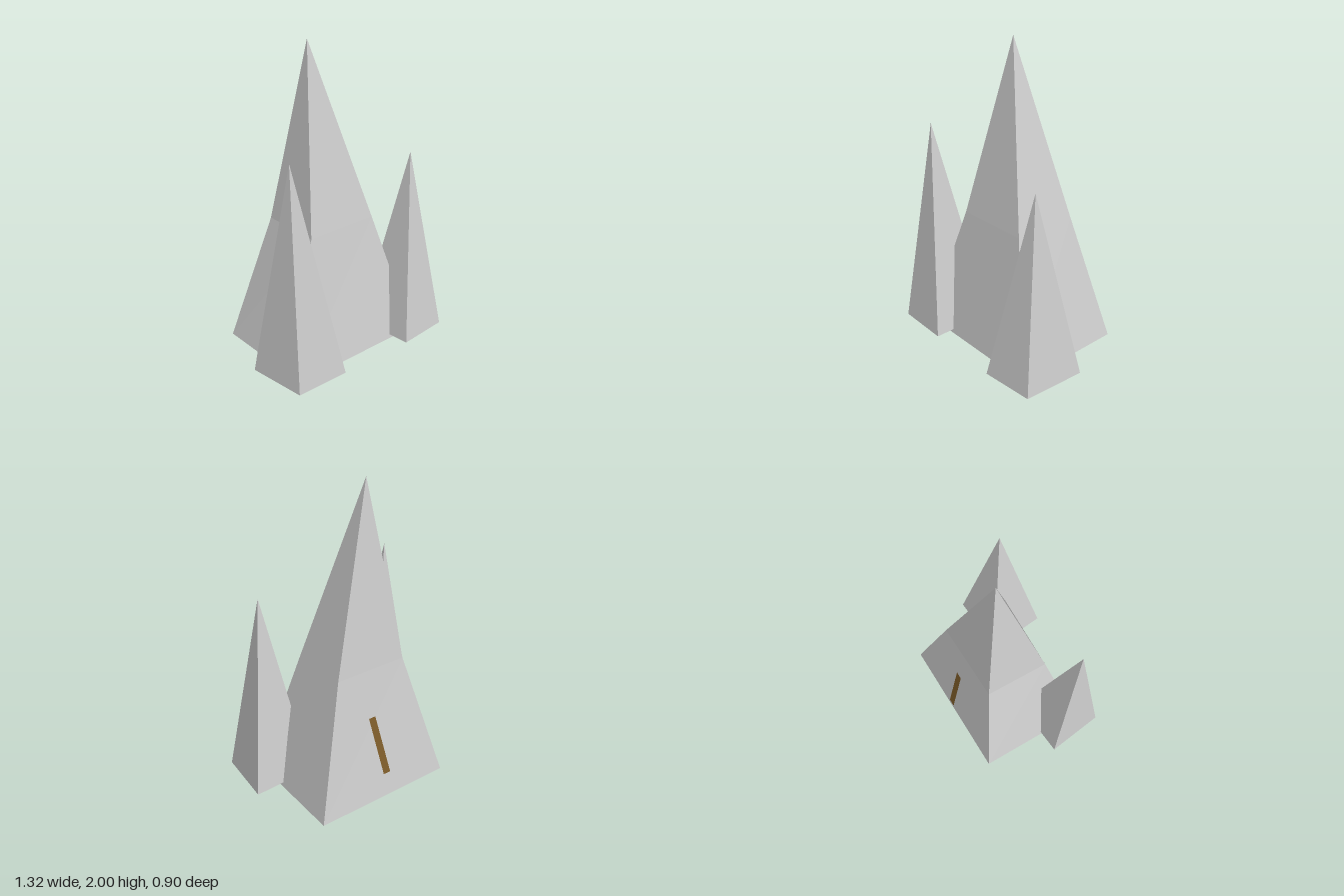
import * as THREE from 'three';

const grey = new THREE.MeshStandardMaterial({ color: 0xcccccc, flatShading: true });
const brown = new THREE.MeshStandardMaterial({ color: 0x7a5a28, flatShading: true, side: THREE.DoubleSide });

// Closed four-sided spire. Each ring is { y, pts } with [x, z] corners in the
// order back left, front left, front right, back right.
function spire(name, rings, apex) {
  const v = [];
  const corner = (r, i) => {
    const [x, z] = rings[r].pts[i % 4];
    return [x, rings[r].y, z];
  };
  const tri = (a, b, c) => v.push(...a, ...b, ...c);
  const top = rings.length - 1;
  for (let i = 0; i < 4; i++) {
    for (let r = 0; r < top; r++) {
      tri(corner(r, i), corner(r, i + 1), corner(r + 1, i + 1));
      tri(corner(r, i), corner(r + 1, i + 1), corner(r + 1, i));
    }
    tri(corner(top, i), corner(top, i + 1), apex);
  }
  // underside
  tri(corner(0, 0), corner(0, 2), corner(0, 1));
  tri(corner(0, 0), corner(0, 3), corner(0, 2));
  return makeMesh(name, v, grey);
}

function makeMesh(name, vertices, material) {
  const g = new THREE.BufferGeometry();
  g.setAttribute('position', new THREE.Float32BufferAttribute(vertices, 3));
  g.computeVertexNormals();
  const mesh = new THREE.Mesh(g, material);
  mesh.name = name;
  return mesh;
}

export function createModel() {
  const group = new THREE.Group();
  group.name = 'rockSpires';

  // Tall central spire with a flared lower half
  group.add(spire('mainSpire', [
    { y: 0, pts: [[-0.5, -0.44], [-0.513, 0.286], [0.453, 0.32], [0.481, -0.455]] },
    { y: 0.85, pts: [[-0.265, -0.28], [-0.28, 0.13], [0.225, 0.14], [0.25, -0.295]] },
  ], [-0.09, 2, -0.11]));

  // Smaller spires at the two front corners
  group.add(spire('rightSpire', [
    { y: 0.025, pts: [[-0.66, 0.015], [-0.617, 0.4], [-0.26, 0.42], [-0.24, -0.025]] },
  ], [-0.507, 1.42, 0.212]));
  group.add(spire('leftSpire', [
    { y: 0.025, pts: [[0.228, 0.047], [0.262, 0.45], [0.612, 0.435], [0.656, 0.02]] },
  ], [0.46, 1.26, 0.24]));

  // Thin slanted strip on the back face
  const a = [-0.04, 0.18, -0.455], b = [0.012, 0.18, -0.455];
  const c = [0.053, 0.55, -0.348], d = [0.003, 0.55, -0.348];
  group.add(makeMesh('backStrip', [...a, ...d, ...c, ...a, ...c, ...b], brown));

  return group;
}
